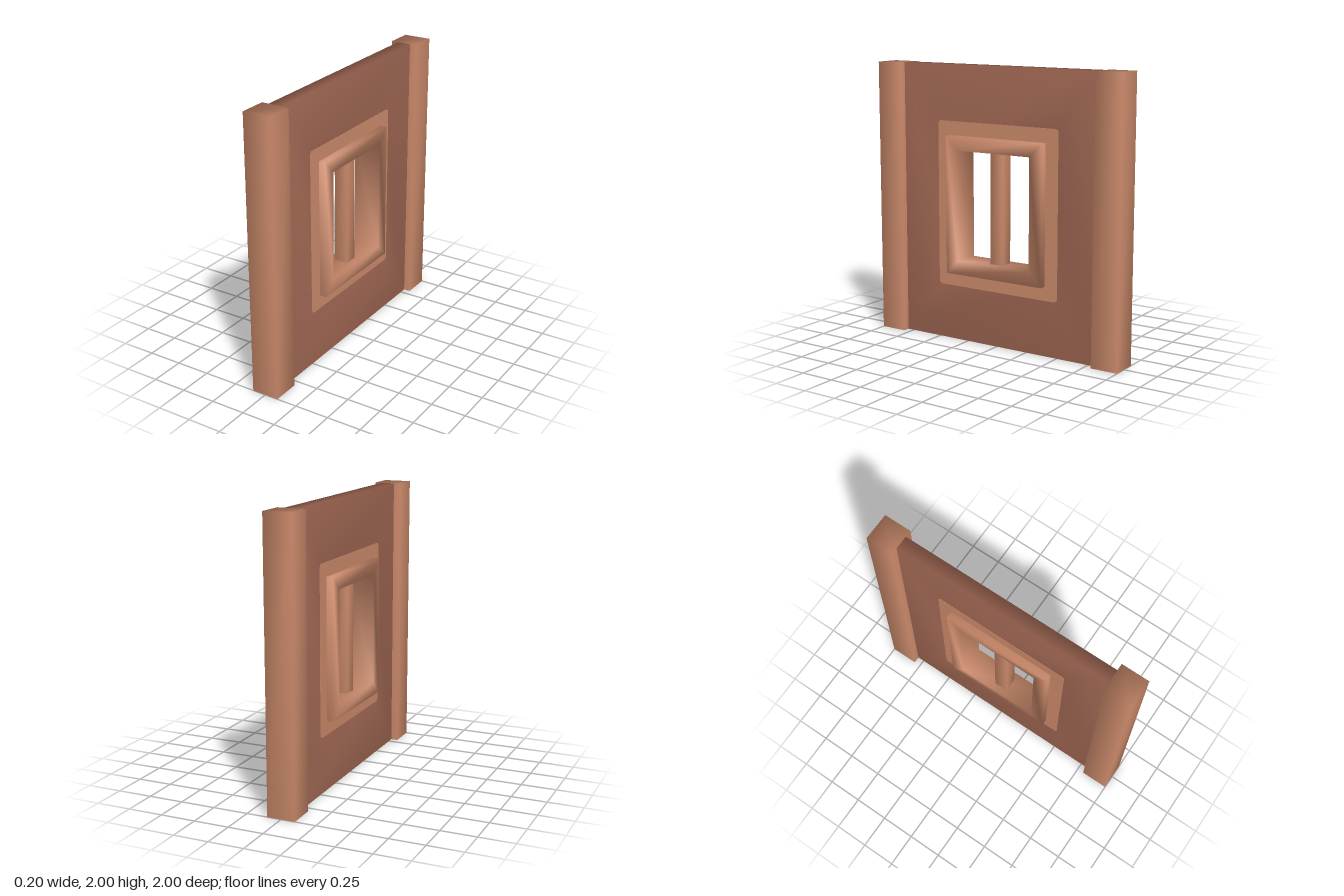
import * as THREE from 'three';
import { mergeVertices } from 'three/addons/utils/BufferGeometryUtils.js';

const lightWood = new THREE.MeshStandardMaterial({ color: 0xc98869 });
lightWood.name = 'lightWood';
const darkWood = new THREE.MeshStandardMaterial({ color: 0x9f6652 });
darkWood.name = 'darkWood';

// Box whose corners share one normal, for soft shading over the edges
function softBox(w, h, d) {
  const box = new THREE.BoxGeometry(w, h, d);
  box.deleteAttribute('normal');
  box.deleteAttribute('uv');
  const geo = mergeVertices(box);
  geo.computeVertexNormals();
  return geo;
}

// Soft-shaded rectangular ring facing x; each rectangle is { z, y0, y1 }
function softRing(outer, inner, halfDepth) {
  const pos = [];
  const loops = [[outer, halfDepth], [inner, halfDepth], [inner, -halfDepth], [outer, -halfDepth]];
  for (const [r, x] of loops) {
    pos.push(x, r.y0, r.z, x, r.y0, -r.z, x, r.y1, -r.z, x, r.y1, r.z);
  }
  const index = [];
  for (let l = 0; l < 4; l++) {
    const n = (l + 1) % 4;
    for (let i = 0; i < 4; i++) {
      const j = (i + 1) % 4;
      const a = l * 4 + i, b = l * 4 + j, c = n * 4 + j, d = n * 4 + i;
      index.push(a, b, c, a, c, d);
    }
  }
  const geo = new THREE.BufferGeometry();
  geo.setAttribute('position', new THREE.Float32BufferAttribute(pos, 3));
  geo.setIndex(index);
  geo.computeVertexNormals();
  return geo;
}

// Thin painted border with rounded outer corners
function borderGeometry() {
  const w = 0.5, b = 0.4, t = 1.6, r = 0.03;
  const s = new THREE.Shape();
  s.moveTo(-w + r, b);
  s.lineTo(w - r, b).quadraticCurveTo(w, b, w, b + r);
  s.lineTo(w, t - r).quadraticCurveTo(w, t, w - r, t);
  s.lineTo(-w + r, t).quadraticCurveTo(-w, t, -w, t - r);
  s.lineTo(-w, b + r).quadraticCurveTo(-w, b, -w + r, b);
  const hole = new THREE.Path();
  hole.moveTo(-0.39, 0.51);
  hole.lineTo(-0.39, 1.49).lineTo(0.39, 1.49).lineTo(0.39, 0.51).lineTo(-0.39, 0.51);
  s.holes.push(hole);
  const geo = new THREE.ExtrudeGeometry(s, { depth: 0.004, bevelEnabled: false, curveSegments: 5 });
  geo.translate(0, 0, -0.002);
  geo.rotateY(Math.PI / 2);
  return geo;
}

export function createModel() {
  const model = new THREE.Group();
  model.name = 'windowWall';
  const add = (name, geo, mat, x = 0, y = 0, z = 0) => {
    const mesh = new THREE.Mesh(geo, mat);
    mesh.name = name;
    mesh.position.set(x, y, z);
    model.add(mesh);
  };

  // Wall panel with its opening
  add('wallPanel', softRing({ z: 0.8, y0: 0, y1: 2 }, { z: 0.39, y0: 0.51, y1: 1.49 }, 0.05), darkWood);

  // End posts
  const post = softBox(0.2, 2, 0.2);
  add('frontPost', post, lightWood, 0, 1, 0.9);
  add('backPost', post, lightWood, 0, 1, -0.9);

  // Window frame and central bar
  add('windowFrame', softRing({ z: 0.4, y0: 0.5, y1: 1.5 }, { z: 0.3, y0: 0.6, y1: 1.4 }, 0.1), lightWood);
  add('windowBar', softBox(0.1, 0.8, 0.1), lightWood, 0, 1, 0);

  // Painted border around the window, on both faces
  const border = borderGeometry();
  add('leftBorder', border, lightWood, 0.05);
  add('rightBorder', border, lightWood, -0.05);

  return model;
}
